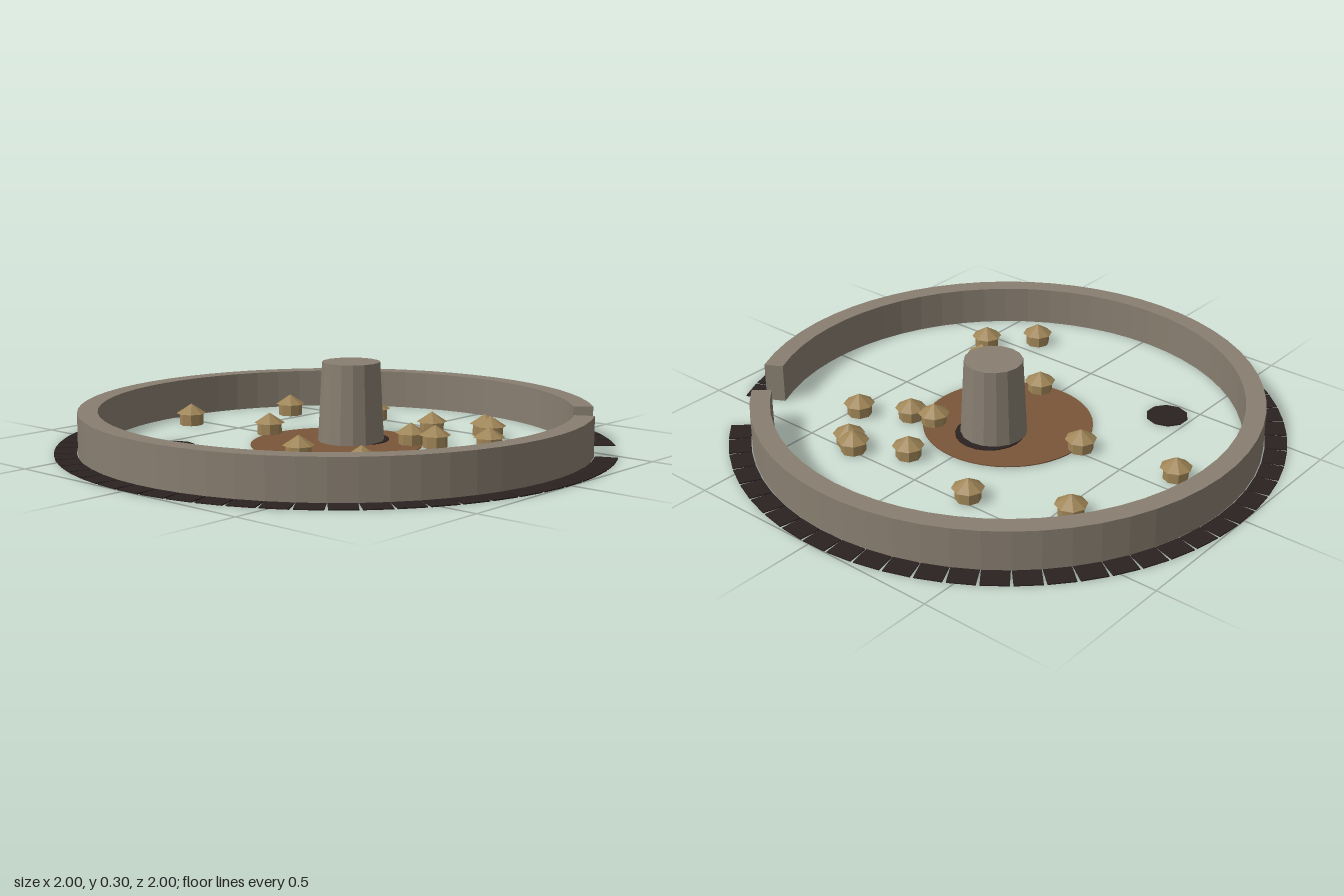
import * as THREE from 'three';

const material = (name, color) => {
  const m = new THREE.MeshStandardMaterial({ color, flatShading: true });
  m.name = name;
  return m;
};

export function createModel() {
  const stone = material('stone', 0x887e70);
  const dark = material('dark earth', 0x2b2121);
  const clay = material('clay', 0x7a5639);
  const straw = material('straw', 0x9e8456);

  const model = new THREE.Group();
  model.name = 'walledVillage';

  const add = (parent, name, geometry, mat, x = 0, y = 0, z = 0) => {
    const mesh = new THREE.Mesh(geometry, mat);
    mesh.name = name;
    mesh.position.set(x, y, z);
    parent.add(mesh);
    return mesh;
  };

  // Ring wall, open at the gateway
  const rad = THREE.MathUtils.degToRad;
  const start = rad(40.3), end = rad(388), segments = 58;
  const ring = new THREE.Shape();
  ring.absarc(0, 0, 0.917, start, end, false);
  ring.absarc(0, 0, 0.846, end, start, true);
  const wall = new THREE.ExtrudeGeometry(ring, {
    depth: 0.145, bevelEnabled: false, curveSegments: segments / 2,
  });
  wall.rotateX(-Math.PI / 2);
  add(model, 'ringWall', wall, stone);

  // Ditch of flat slabs around the wall
  const ditch = new THREE.Group();
  ditch.name = 'ditch';
  model.add(ditch);
  const slab = new THREE.BoxGeometry(0.079, 0.004, 0.093);
  for (let i = 0; i < segments; i++) {
    const a = start + (end - start) * (i + 0.5) / segments;
    const tile = add(ditch, 'ditchSlab', slab, dark, 0.96 * Math.cos(a), 0.002, -0.96 * Math.sin(a));
    tile.rotation.y = a;
  }

  // Central yard, tower with its dark footing, and the pit
  add(model, 'yard', new THREE.CylinderGeometry(0.308, 0.308, 0.004, 48), clay, 0, 0.005, 0);
  add(model, 'towerFooting', new THREE.CylinderGeometry(0.124, 0.124, 0.009, 20), dark, 0, 0.0055, -0.103);
  add(model, 'tower', new THREE.CylinderGeometry(0.105, 0.12, 0.289, 16), stone, 0, 0.1505, -0.08);
  add(model, 'pit', new THREE.CylinderGeometry(0.077, 0.077, 0.004, 10), dark, -0.415, 0.004, 0.41);

  // Round huts with conical roofs
  const hutWall = new THREE.CylinderGeometry(0.045, 0.045, 0.045, 8);
  const hutRoof = new THREE.ConeGeometry(0.057, 0.037, 8);
  const huts = [
    [-0.22, -0.475], [-0.545, -0.335], [0.12, -0.4], [0.295, -0.495], [0.34, -0.47],
    [0.465, -0.29], [0.297, -0.195], [0.205, -0.172], [-0.68, 0.075], [-0.315, 0.02],
    [0.063, 0.265], [0.345, 0.26], [0.378, 0.3], [0.46, 0.425], [0.32, 0.572],
  ];
  for (const [x, z] of huts) {
    const hut = new THREE.Group();
    hut.name = 'hut';
    hut.position.set(x, 0, z);
    add(hut, 'hutWall', hutWall, straw, 0, 0.0255, 0);
    add(hut, 'hutRoof', hutRoof, straw, 0, 0.0655, 0);
    model.add(hut);
  }

  return model;
}
